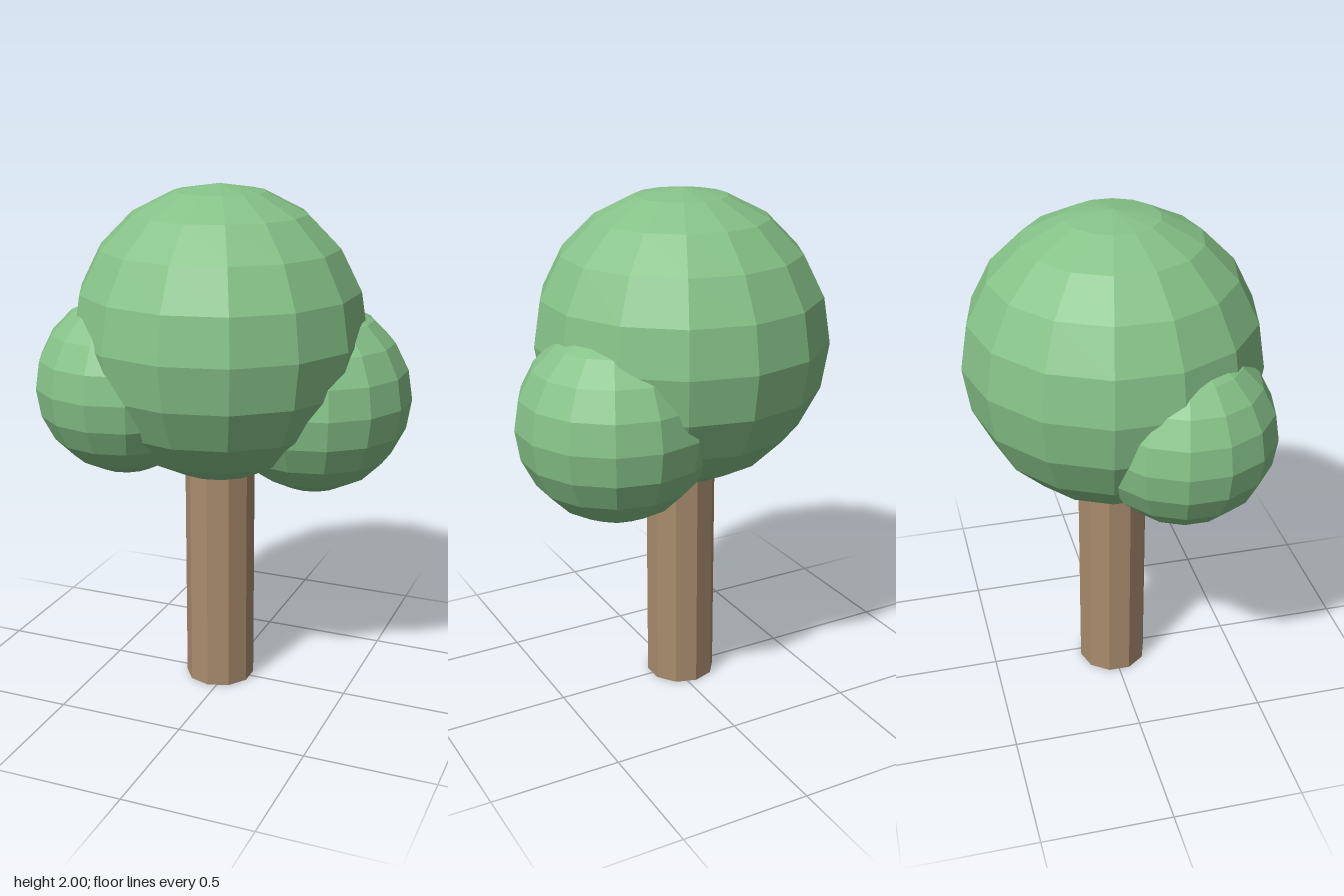
import * as THREE from 'three';

export function createModel() {
  const tree = new THREE.Group();
  tree.name = 'tree';

  const leafGreen = new THREE.MeshStandardMaterial({ color: 0x86c288, flatShading: true });
  leafGreen.name = 'leafGreen';
  const barkBrown = new THREE.MeshStandardMaterial({ color: 0xa98c6e, flatShading: true });
  barkBrown.name = 'barkBrown';

  // Ten-sided trunk
  const height = 0.92;
  const trunk = new THREE.Mesh(new THREE.CylinderGeometry(0.137, 0.137, height, 10), barkBrown);
  trunk.name = 'trunk';
  trunk.position.set(-0.035, height / 2, 0);
  tree.add(trunk);

  // Faceted foliage balls, turned so that a meridian faces front
  const addFoliage = (name, radius, x, y, z) => {
    const geometry = new THREE.SphereGeometry(radius, 14, 10).rotateY(Math.PI / 2);
    const ball = new THREE.Mesh(geometry, leafGreen);
    ball.name = name;
    ball.position.set(x, y, z);
    tree.add(ball);
  };
  addFoliage('mainFoliage', 0.564, -0.035, 1.436, 0);
  addFoliage('rightFoliage', 0.344, -0.345, 1.255, 0.19);
  addFoliage('leftFoliage', 0.374, 0.309, 1.19, -0.13);

  return tree;
}
